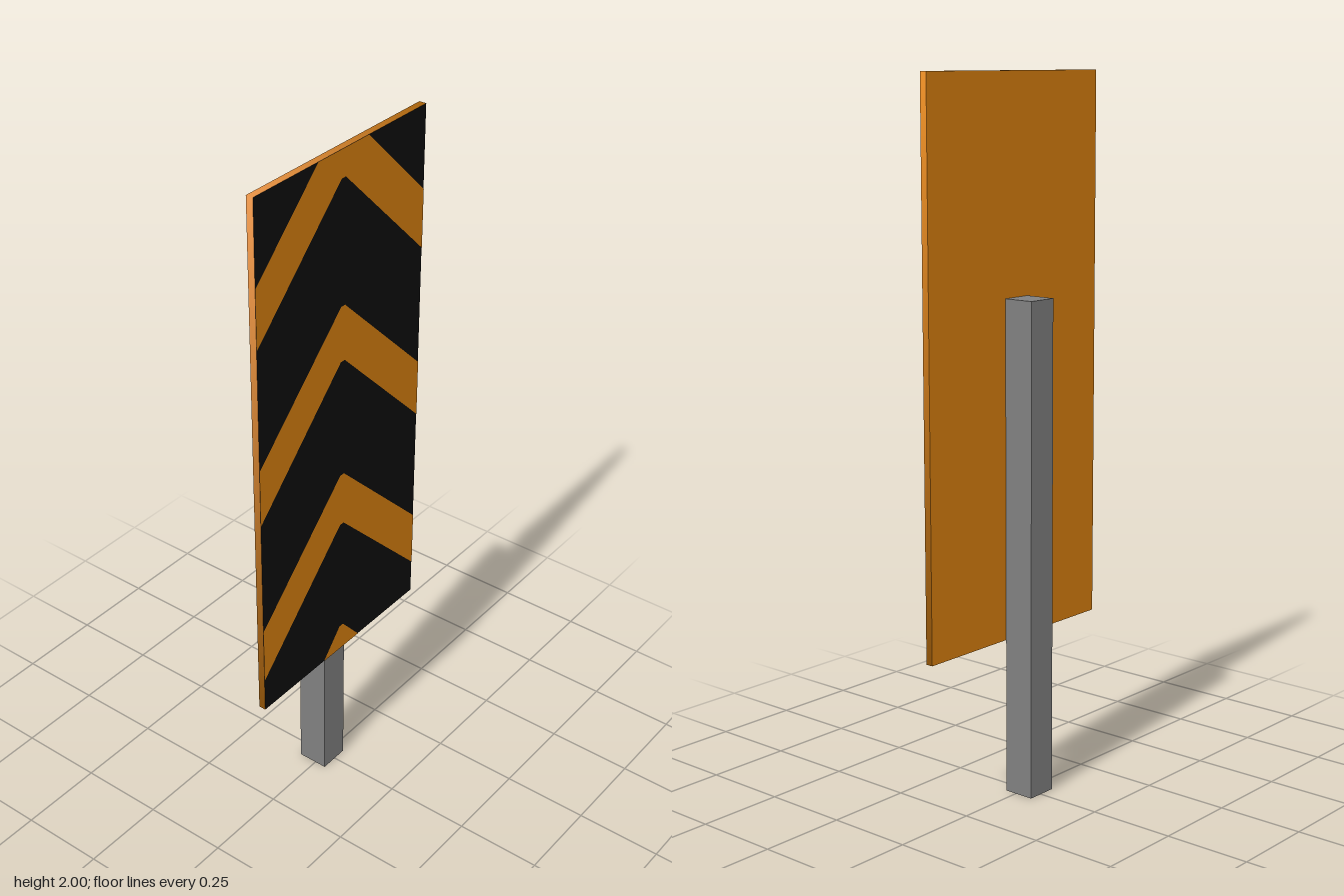
import * as THREE from 'three';

const TOP = 2, BOTTOM = 0.445, HALF = 0.342;   // sign panel extents
const BACK = 0.035, FACE = 0.056;              // panel thickness along x

export function createModel() {
  const group = new THREE.Group();
  const orange = new THREE.MeshStandardMaterial({ name: 'orange', color: 0xd9800f });
  const black = new THREE.MeshStandardMaterial({ name: 'black', color: 0x0e0e0e });
  const grey = new THREE.MeshStandardMaterial({ name: 'grey', color: 0x808080 });

  const add = (name, geometry, material, x = 0, y = 0, z = 0) => {
    const mesh = new THREE.Mesh(geometry, material);
    mesh.name = name;
    mesh.position.set(x, y, z);
    group.add(mesh);
  };

  // Square post behind the panel
  add('post', new THREE.BoxGeometry(0.091, 1.4, 0.091), grey, -0.0105, 0.7, 0.0035);

  // Panel rim: four sides with normals smoothed around the corners
  const height = TOP - BOTTOM, midY = (TOP + BOTTOM) / 2;
  const rim = new THREE.CylinderGeometry(Math.SQRT2, Math.SQRT2, 1, 4, 1, true, Math.PI / 4);
  rim.rotateZ(Math.PI / 2);
  rim.attributes.position.applyMatrix4(new THREE.Matrix4().makeScale(FACE - BACK, height / 2, HALF));
  add('panelRim', rim, orange, (BACK + FACE) / 2, midY);

  // Panel back and black face
  const plate = (turn) => new THREE.PlaneGeometry(HALF * 2, height).rotateY(turn);
  add('panelBack', plate(-Math.PI / 2), orange, BACK, midY);
  add('panelFace', plate(Math.PI / 2), black, FACE, midY);

  // Chevrons: right half outlines from upper to lower centre point, mirrored
  const chevrons = [
    [[0, TOP], [0.1, TOP], [HALF, 1.762], [HALF, 1.592], [0.008, 1.923]],
    [[0.008, 1.567], [HALF, 1.24], [HALF, 1.07], [0.008, 1.404]],
    [[0.008, 1.048], [HALF, 0.72], [HALF, 0.55], [0.008, 0.884]],
    [[0.008, 0.527], [0.08, BOTTOM]],
  ];
  chevrons.forEach((half, i) => {
    const mirrored = half.filter(([u]) => u > 0).reverse().map(([u, y]) => [-u, y]);
    const points = [...half, ...mirrored].map(([u, y]) => new THREE.Vector2(u, y));
    const geometry = new THREE.ShapeGeometry(new THREE.Shape(points)).rotateY(Math.PI / 2);
    add(`chevron${i + 1}`, geometry, orange, FACE + 0.001);
  });

  return group;
}
